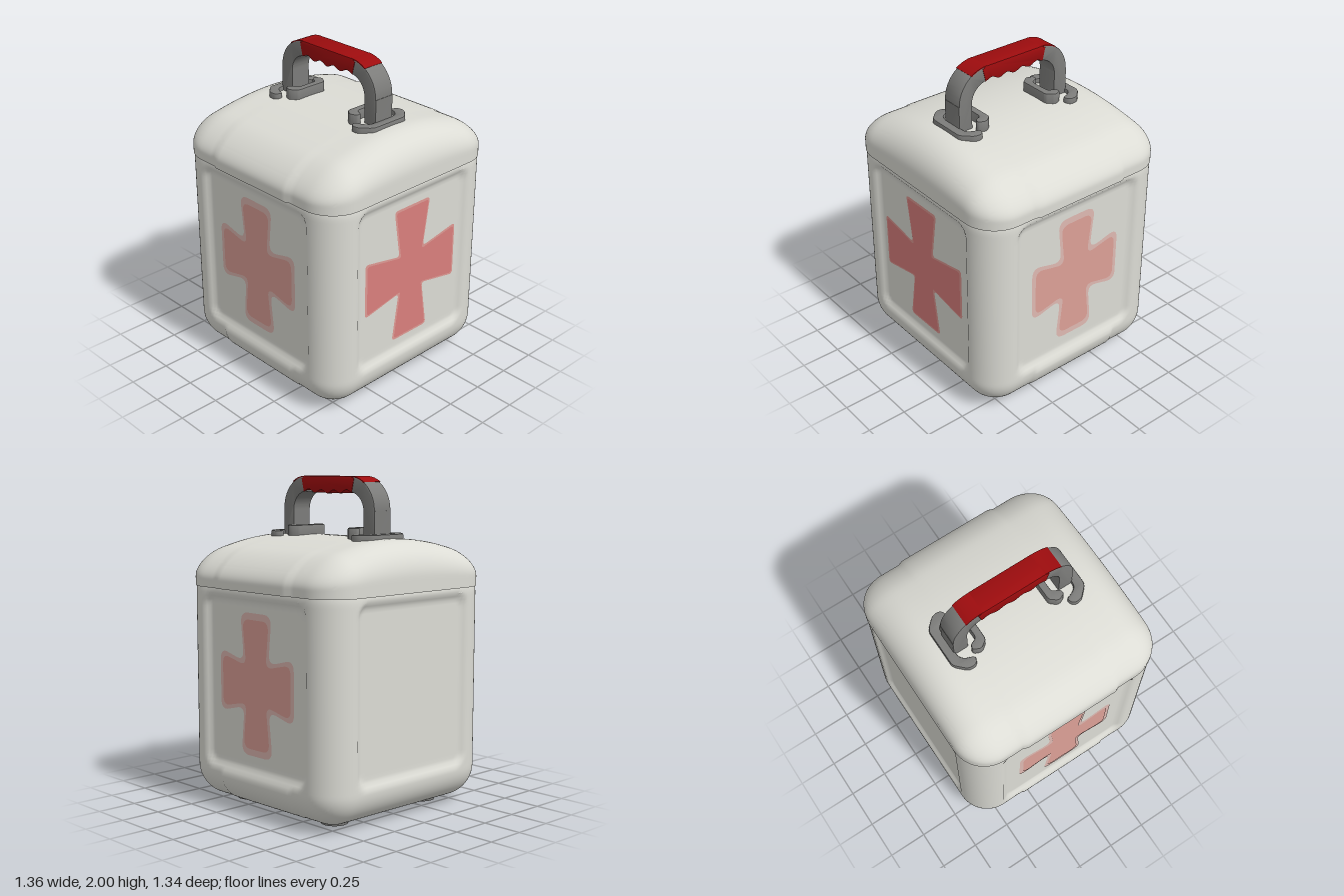
import * as THREE from 'three';
import { toCreasedNormals } from 'three/addons/utils/BufferGeometryUtils.js';

const mat = (name, color) => {
  const m = new THREE.MeshStandardMaterial({ color });
  m.name = name;
  return m;
};

// Closed polygon with softened corners
function roundedPoly(pts, r) {
  const v = pts.map(([x, y]) => new THREE.Vector2(x, y));
  const s = new THREE.Shape();
  v.forEach((p, i) => {
    const prev = v[(i + v.length - 1) % v.length], next = v[(i + 1) % v.length];
    const a = p.clone().lerp(prev, Math.min(0.45, r / p.distanceTo(prev)));
    const b = p.clone().lerp(next, Math.min(0.45, r / p.distanceTo(next)));
    if (i === 0) s.moveTo(a.x, a.y); else s.lineTo(a.x, a.y);
    s.quadraticCurveTo(p.x, p.y, b.x, b.y);
  });
  s.closePath();
  return s;
}

// Flared cross: arm lengths lx, ly; tip half widths tx, ty; notch half sizes nx, ny
function crossShape(lx, ly, tx, ty, nx, ny, r) {
  const quarter = [[lx, tx], [nx, ny], [ty, ly]];
  const flip = (sx, sy) => quarter.map(([x, y]) => [x * sx, y * sy]);
  return roundedPoly([
    ...flip(1, 1), ...flip(-1, 1).reverse(), ...flip(-1, -1), ...flip(1, -1).reverse(),
  ], r);
}

// Subdivided box with rounded edges; the rule then moves each point
function softBox(hx, y0, y1, hz, r, roundBottom, seg, rule) {
  const g = new THREE.BoxGeometry(2 * hx, y1 - y0, 2 * hz, ...seg);
  g.translate(0, (y0 + y1) / 2, 0);
  const pos = g.attributes.position;
  const p = new THREE.Vector3(), c = new THREE.Vector3(), d = new THREE.Vector3();
  for (let i = 0; i < pos.count; i++) {
    p.fromBufferAttribute(pos, i);
    c.set(
      THREE.MathUtils.clamp(p.x, r - hx, hx - r),
      THREE.MathUtils.clamp(p.y, roundBottom ? y0 + r : y0, y1 - r),
      THREE.MathUtils.clamp(p.z, r - hz, hz - r));
    d.subVectors(p, c);
    const reach = Math.max(Math.abs(d.x), Math.abs(d.y), Math.abs(d.z));
    if (reach > 1e-6) d.setLength(reach);
    const face = { x: Math.abs(p.x) > hx - 1e-4, z: Math.abs(p.z) > hz - 1e-4 };
    p.addVectors(c, d);
    rule(p, face);
    pos.setXYZ(i, p.x, p.y, p.z);
  }
  g.deleteAttribute('uv');
  return toCreasedNormals(g, 0.6);
}

const RECESS = 0.025;
// Depth of the sunken side panel at a point of a face
function recess(u, y) {
  const r = 0.09;
  const qx = Math.abs(u) - 0.465 + r, qy = Math.abs(y - 0.78) - 0.54 + r;
  const sd = Math.hypot(Math.max(qx, 0), Math.max(qy, 0)) + Math.min(Math.max(qx, qy), 0) - r;
  return RECESS * THREE.MathUtils.smoothstep(-sd, 0, 0.05);
}

export function createModel() {
  const white = mat('off-white shell', 0xdcdcd5);
  const red = mat('red grip', 0x9e0c0e);
  const grey = mat('grey fittings', 0x7d7d7b);
  const crossRed = mat('front cross red', 0xd97f7d);
  const crossRim = mat('front cross rim', 0xde9993);
  const pale = mat('side cross pink', 0xdca097);
  const paleRim = mat('side cross pale rim', 0xdeb9b2);

  const model = new THREE.Group();
  const add = (name, geo, material, parent = model) => {
    const m = new THREE.Mesh(geo, material);
    m.name = name;
    parent.add(m);
    return m;
  };

  // Body with four sunken panels
  const HX = 0.66, HZ = 0.663;
  add('body', softBox(HX, 0.03, 1.5, HZ, 0.2, true, [66, 70, 66], (p, face) => {
    if (face.z) p.z -= Math.sign(p.z) * recess(p.x, p.y);
    if (face.x) p.x -= Math.sign(p.x) * recess(p.z, p.y);
    if (p.y < 0.24 && Math.abs(p.z) < 0.32) p.x *= 1.012;
  }), white);

  // Lid, domed across x, with a slightly raised middle band
  add('lid', softBox(0.667, 1.34, 1.64, 0.668, 0.21, false, [44, 16, 44], (p) => {
    p.y = 1.34 + (p.y - 1.34) * (1 - p.x * p.x);
    if (Math.abs(p.z) < 0.32) p.x *= 1.018;
  }), white);

  // Painted crosses
  const paint = (name, shape, material, lift, place) =>
    place(add(name, new THREE.ShapeGeometry(shape).translate(0, 0, lift), material));
  const onFront = (m) => m.position.set(0, 0.78, HZ - RECESS);
  paint('frontCrossRim', crossShape(0.378, 0.434, 0.178, 0.148, 0.1, 0.125, 0.03), crossRim, 0.003, onFront);
  paint('frontCross', crossShape(0.364, 0.42, 0.163, 0.134, 0.088, 0.113, 0.02), crossRed, 0.006, onFront);
  for (const s of [1, -1]) {
    const onSide = (m) => {
      m.position.set(s * (HX - RECESS), 0.79, 0);
      m.rotation.y = s * Math.PI / 2;
    };
    paint('sideCrossRim', crossShape(0.33, 0.425, 0.19, 0.14, 0.11, 0.135, 0.07), paleRim, 0.003, onSide);
    paint('sideCross', crossShape(0.305, 0.385, 0.158, 0.118, 0.088, 0.11, 0.06), pale, 0.006, onSide);
  }
  paint('bottomCross', crossShape(0.2, 0.2, 0.1, 0.1, 0.065, 0.065, 0.04), pale, 0.003, (m) => {
    m.position.y = 0.03;
    m.rotation.x = Math.PI / 2;
  });

  // Feet
  for (const x of [-0.375, 0.375]) for (const z of [-0.385, 0.385]) {
    const foot = add('foot', new THREE.CylinderGeometry(0.09, 0.08, 0.05, 16), grey);
    foot.position.set(x, 0.025, z);
  }

  // Handle parts: drawn in the z-y plane, extruded across x
  const across = (shape, width, bevel) => {
    const g = new THREE.ExtrudeGeometry(shape, {
      depth: width - 2 * bevel, curveSegments: 12, bevelEnabled: bevel > 0,
      bevelThickness: bevel, bevelSize: bevel, bevelOffset: -bevel, bevelSegments: 2,
    });
    g.translate(0, 0, bevel - width / 2).rotateY(-Math.PI / 2);
    return toCreasedNormals(g, 0.6);
  };

  const leg = new THREE.Shape();
  leg.moveTo(0.4, 1.6);
  leg.lineTo(0.4, 1.8);
  leg.absarc(0.2, 1.8, 0.198, 0, Math.PI / 2, false);
  leg.lineTo(0.19, 1.905);
  leg.absarc(0.19, 1.79, 0.115, Math.PI / 2, 0, true);
  leg.lineTo(0.305, 1.6);
  leg.closePath();

  // Red strip that runs on over the top of each leg
  const cap = new THREE.Shape();
  cap.absarc(0.2, 1.8, 0.2, 0.99, Math.PI / 2, false);
  cap.absarc(0.2, 1.8, 0.194, Math.PI / 2, 0.99, true);
  cap.closePath();

  // Grip with finger scallops underneath
  const grip = new THREE.Shape();
  grip.moveTo(0.2, 2);
  grip.lineTo(-0.2, 2);
  grip.lineTo(-0.23, 1.985);
  for (let i = 0; i <= 32; i++) {
    const z = -0.21 + 0.42 * i / 32;
    grip.lineTo(z, 1.912 - 0.01 * Math.cos(z * Math.PI * 2 / 0.11) - 0.006 * (1 - (z / 0.21) ** 2));
  }
  grip.lineTo(0.23, 1.985);
  grip.closePath();
  add('grip', across(grip, 0.144, 0.004), red);

  // Plan-view brackets at the handle base, mirrored across x
  const upright = (half, r, y0, y1) => {
    const pts = [...half, ...half.map(([x, z]) => [-x, z]).reverse()];
    const g = new THREE.ExtrudeGeometry(roundedPoly(pts.map(([x, z]) => [x, -z]), r), {
      depth: y1 - y0 - 0.008, bevelThickness: 0.008, bevelSize: 0.008, bevelOffset: -0.008,
      bevelSegments: 2, curveSegments: 5,
    });
    g.rotateX(-Math.PI / 2).translate(0, y0, 0);
    return toCreasedNormals(g, 0.6);
  };
  const outerBracket = [[0.1, 0.39], [0.128, 0.36], [0.145, 0.305], [0.192, 0.325], [0.192, 0.38], [0.125, 0.448]];
  const innerClip = [[0.07, 0.255], [0.085, 0.3], [0.12, 0.31], [0.142, 0.26], [0.105, 0.21]];

  for (const s of [1, -1]) {
    const end = new THREE.Group();
    end.name = s > 0 ? 'frontHandleEnd' : 'backHandleEnd';
    end.rotation.y = s > 0 ? 0 : Math.PI;
    add('handleLeg', across(leg, 0.138, 0.008), grey, end);
    add('gripCap', across(cap, 0.14, 0), red, end);
    add('outerBracket', upright(outerBracket, 0.025, 1.6, 1.665), grey, end);
    add('innerClip', upright(innerClip, 0.02, 1.6, 1.7), grey, end);
    model.add(end);
  }
  return model;
}
